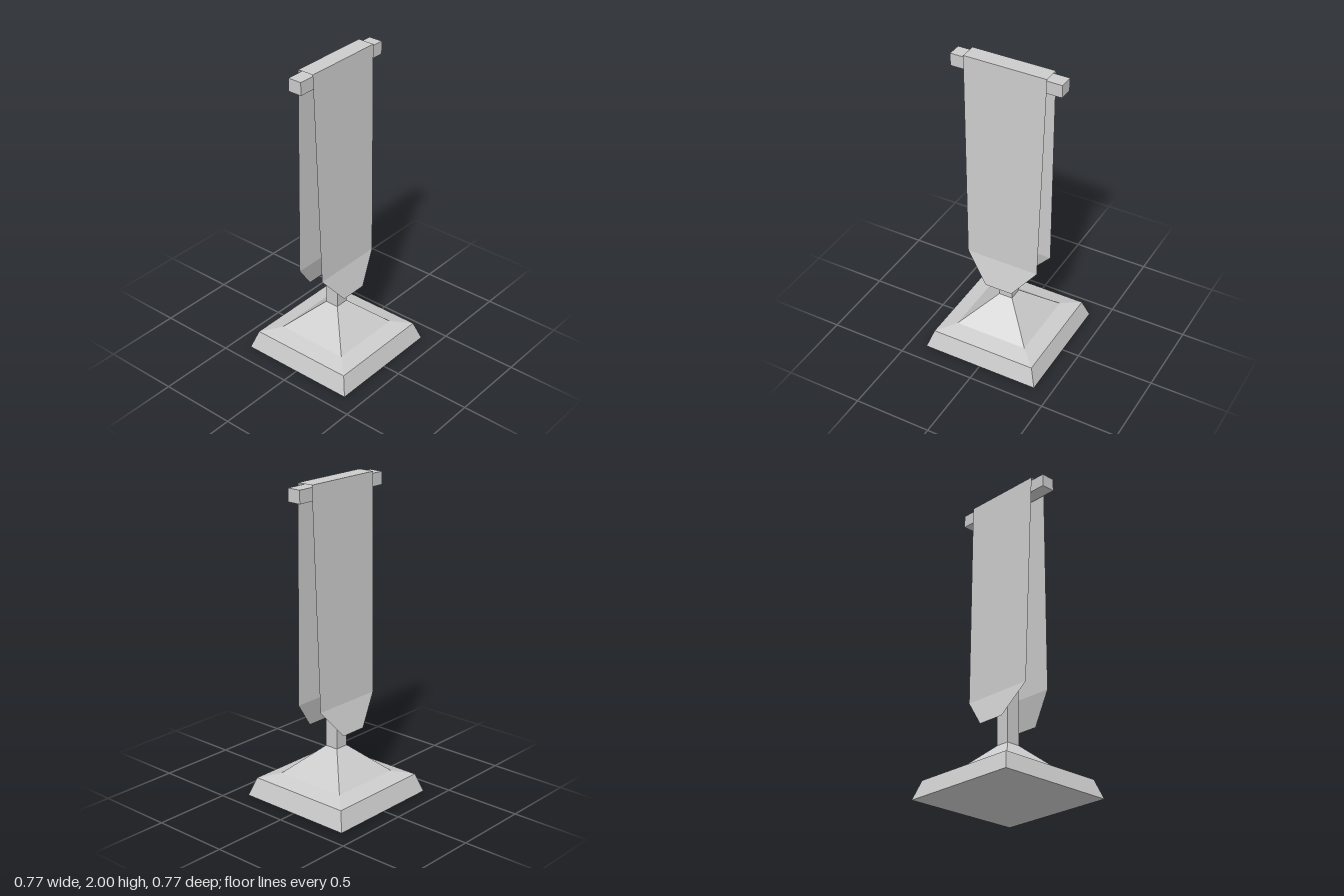
import * as THREE from 'three';

const grey = new THREE.MeshStandardMaterial({ color: 0xcccccc, flatShading: true });
const cloth = new THREE.MeshStandardMaterial({ color: 0xcccccc, flatShading: true, side: THREE.DoubleSide });

function addMesh(group, name, geometry, material = grey) {
  const flat = geometry.index ? geometry.toNonIndexed() : geometry;
  flat.computeVertexNormals();
  const mesh = new THREE.Mesh(flat, material);
  mesh.name = name;
  group.add(mesh);
  return mesh;
}

// Square solid from [halfWidth, y] steps, listed bottom to top
function squareLathe(steps) {
  const points = steps.map(([half, y]) => new THREE.Vector2(half * Math.SQRT2, y));
  return new THREE.LatheGeometry(points, 4, Math.PI / 4);
}

// Sheet running through rows of [halfWidth, y, z]
function sheet(rows) {
  const positions = [];
  const index = [];
  rows.forEach(([half, y, z], i) => {
    positions.push(-half, y, z, half, y, z);
    if (i > 0) {
      const a = 2 * (i - 1);
      index.push(a, a + 1, a + 3, a, a + 3, a + 2);
    }
  });
  const geometry = new THREE.BufferGeometry();
  geometry.setAttribute('position', new THREE.Float32BufferAttribute(positions, 3));
  geometry.setIndex(index);
  return geometry;
}

export function createModel() {
  const group = new THREE.Group();
  group.name = 'bannerStand';

  // Stepped pyramid foot
  addMesh(group, 'base', squareLathe([
    [0, 0], [0.387, 0], [0.347, 0.117], [0.24, 0.145], [0.045, 0.325], [0, 0.325],
  ]));

  // Upright pole and the bar that carries the cloth
  addMesh(group, 'pole', new THREE.BoxGeometry(0.09, 1.58, 0.09)).position.y = 1.115;
  addMesh(group, 'crossbar', new THREE.BoxGeometry(0.71, 0.08, 0.09)).position.y = 1.945;

  // Cloth draped over the bar: front half from hem to fold, mirrored to the back
  const front = [[0.09, 0.45, 0.138], [0.24, 0.632, 0.089], [0.265, 2, 0.053]];
  const back = front.map(([half, y, z]) => [half, y, -z]).reverse();
  addMesh(group, 'banner', sheet([...front, ...back]), cloth);

  return group;
}
